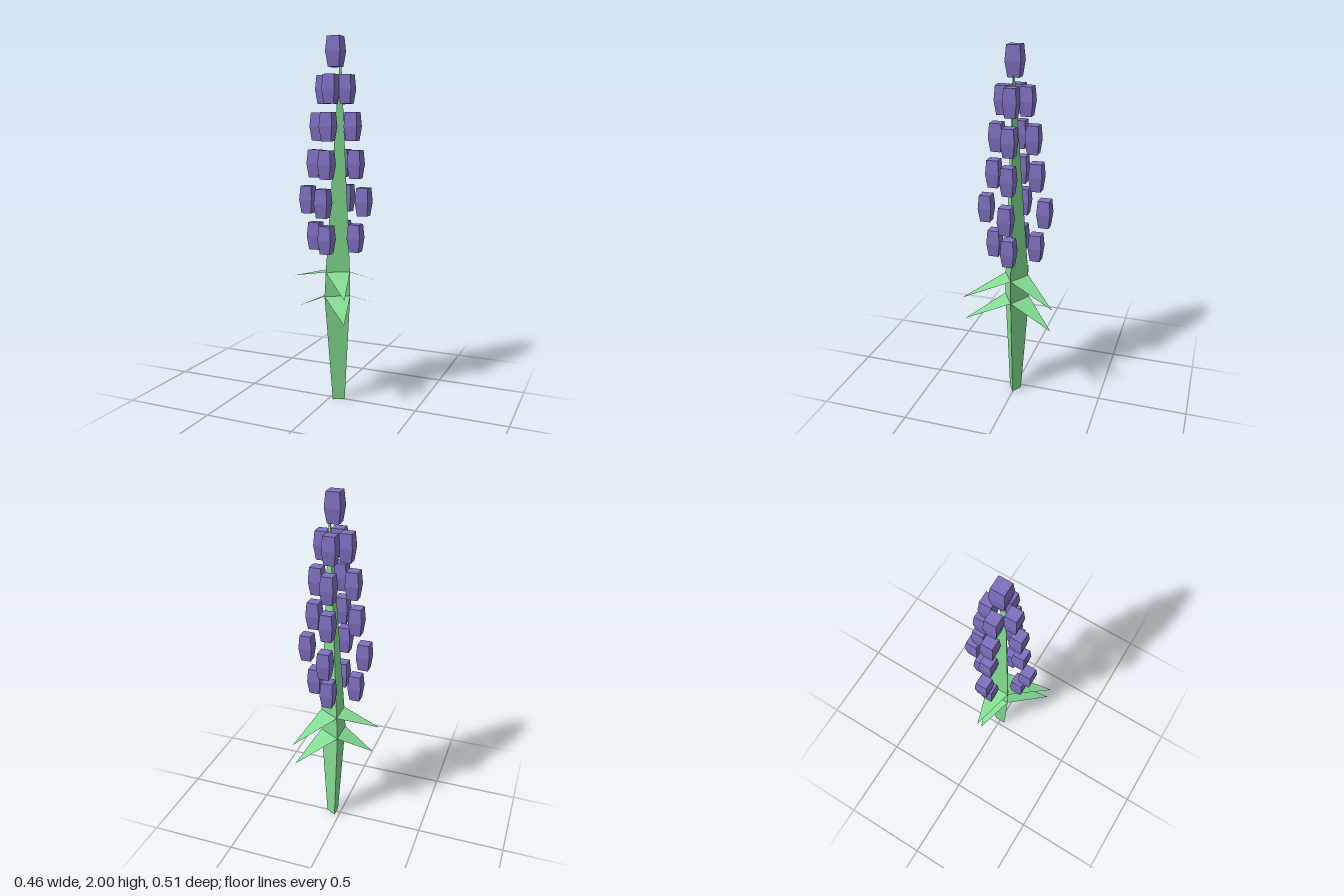
import * as THREE from 'three';

const green = new THREE.MeshStandardMaterial({ color: 0x84dc92, flatShading: true });
const leafGreen = new THREE.MeshStandardMaterial({ color: 0x84dc92, flatShading: true, side: THREE.DoubleSide });
const purple = new THREE.MeshStandardMaterial({ color: 0x7e6fbf, flatShading: true });

// Stem rings, bottom to top: height, circumradius, x of the centre
const RINGS = [
  { y: 0, r: 0.039, x: 0.046 },
  { y: 0.6, r: 0.082, x: 0.034 },
  { y: 0.735, r: 0.077, x: 0.037 },
  { y: 1.89, r: 0.004, x: 0.055 },
];

// Corner k of the triangular stem on a ring (corner 0 points to +x)
function corner(ring, k) {
  const a = (k * Math.PI * 2) / 3;
  return [ring.x + ring.r * Math.cos(a), ring.y, ring.r * Math.sin(a)];
}

// Three-sided stem: a unit prism whose rings are moved onto the profile
function stemGeometry() {
  const last = RINGS.length - 1;
  const geo = new THREE.CylinderGeometry(1, 1, last, 3, last).rotateY(Math.PI / 2);
  const p = geo.attributes.position;
  for (let i = 0; i < p.count; i++) {
    const ring = RINGS[Math.round(p.getY(i) + last / 2)];
    p.setXYZ(i, ring.x + p.getX(i) * ring.r, ring.y, p.getZ(i) * ring.r);
  }
  geo.computeVertexNormals();
  return geo;
}

// Flat pointed leaf from one side of the stem to its tip
function leafGeometry(ring, side, tip) {
  const geo = new THREE.BufferGeometry();
  const points = [...corner(ring, side + 1), ...corner(ring, side), ...tip];
  geo.setAttribute('position', new THREE.Float32BufferAttribute(points, 3));
  geo.computeVertexNormals();
  return geo;
}

// Square bud, widest at mid height
function budGeometry(width, height) {
  const geo = new THREE.BoxGeometry(width, height, width, 1, 2, 1);
  const p = geo.attributes.position;
  for (let i = 0; i < p.count; i++) {
    const y = p.getY(i);
    const k = y > 0.01 ? 0.84 : y < -0.01 ? 0.74 : 1;
    p.setXYZ(i, p.getX(i) * k, y, p.getZ(i) * k);
  }
  geo.computeVertexNormals();
  return geo;
}

export function createModel() {
  const model = new THREE.Group();
  const add = (name, geo, mat, x = 0, y = 0, z = 0) => {
    const mesh = new THREE.Mesh(geo, mat);
    mesh.name = name;
    mesh.position.set(x, y, z);
    model.add(mesh);
  };

  add('stem', stemGeometry(), green);

  // Two whorls of three leaves, one leaf per stem side
  const lowerTips = [[0.182, 0.505, 0.247], [-0.197, 0.512, 0], [0.182, 0.505, -0.247]];
  const upperTips = [[0.188, 0.638, 0.257], [-0.232, 0.685, 0], [0.188, 0.638, -0.257]];
  lowerTips.forEach((tip, side) => add('lowerLeaf', leafGeometry(RINGS[1], side, tip), leafGreen));
  upperTips.forEach((tip, side) => add('upperLeaf', leafGeometry(RINGS[2], side, tip), leafGreen));

  // Flower spike: rows of four buds [height, distance from the axis]
  const axis = 0.027;
  const rows = [[0.925, 0.119], [1.125, 0.165], [1.325, 0.119], [1.525, 0.1], [1.722, 0.066]];
  const bud = budGeometry(0.075, 0.152);
  for (const [y, r] of rows) {
    for (const [dx, dz] of [[1, 0], [-1, 0], [0, 1], [0, -1]]) {
      add('bud', bud, purple, axis + dx * r, y, dz * r);
    }
  }
  add('topBud', budGeometry(0.085, 0.16), purple, axis, 1.92, 0);

  return model;
}
